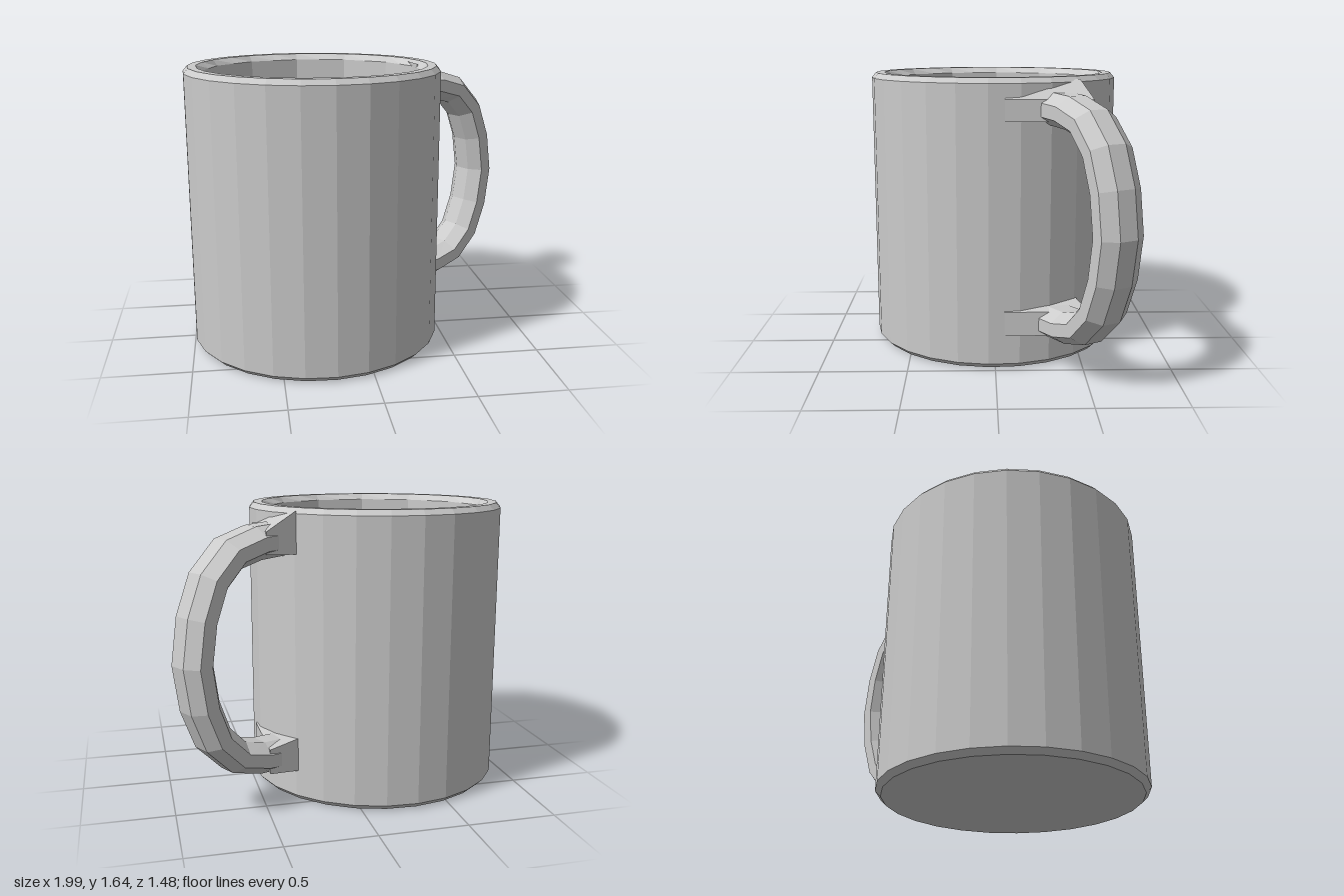
import * as THREE from 'three';
import { ConvexGeometry } from 'three/addons/geometries/ConvexGeometry.js';

const material = new THREE.MeshStandardMaterial({ color: 0xcccccc, flatShading: true });
const V3 = (x, y, z) => new THREE.Vector3(x, y, z);

function addMesh(parent, name, geometry) {
  const mesh = new THREE.Mesh(geometry, material);
  mesh.name = name;
  parent.add(mesh);
  return mesh;
}

// Hollow cup: rounder outside, coarser 13-sided inside
function cupGeometry() {
  const sides = 13;
  const profile = [
    [0, 0], [0.71, 0], [0.74, 0.03], [0.74, 0.17], [0.74, 1.615],
    [0.715, 1.645], [0.665, 1.645], [0.64, 1.61], [0.63, 0.17], [0, 0.17],
  ].map(([r, y]) => new THREE.Vector2(r, y));
  const geometry = new THREE.LatheGeometry(profile, sides * 2, Math.PI * 0.56);
  const pos = geometry.attributes.position;
  for (let i = 0; i < pos.count; i++) {
    const column = Math.floor(i / profile.length);
    // Pull every other inner column onto the chord of its neighbours
    if (column % 2 && profile[i % profile.length].x < 0.65) {
      const k = Math.cos(Math.PI / sides);
      pos.setX(i, pos.getX(i) * k);
      pos.setZ(i, pos.getZ(i) * k);
    }
  }
  geometry.computeVertexNormals();
  return geometry;
}

// Handle: octagonal sections swept down a C-shaped path in the local xy plane
function handleGeometry() {
  const midY = 0.87, thick = 0.09, width = 0.132, sides = 8;
  const upper = [[0.68, 1.48], [0.9, 1.465], [1.06, 1.42], [1.19, 1.29], [1.265, 1.1]];
  const path = [...upper, [1.3, midY], ...upper.map(([x, y]) => [x, 2 * midY - y]).reverse()];
  const positions = [], index = [];
  path.forEach(([x, y], i) => {
    const a = path[Math.max(i - 1, 0)], b = path[Math.min(i + 1, path.length - 1)];
    const length = Math.hypot(b[0] - a[0], b[1] - a[1]);
    const nx = -(b[1] - a[1]) / length, ny = (b[0] - a[0]) / length;
    for (let j = 0; j < sides; j++) {
      const angle = ((j + 0.5) / sides) * Math.PI * 2;
      const t = Math.cos(angle) * thick * 1.08, w = Math.sin(angle) * width * 1.08;
      positions.push(x + nx * t, y + ny * t, w);
      if (i < path.length - 1) {
        const p = i * sides + j, q = i * sides + ((j + 1) % sides);
        index.push(p, q, p + sides, q, q + sides, p + sides);
      }
    }
  });
  const geometry = new THREE.BufferGeometry();
  geometry.setAttribute('position', new THREE.Float32BufferAttribute(positions, 3));
  geometry.setIndex(index);
  geometry.computeVertexNormals();
  return geometry;
}

// Wedge that blends a handle end into the cup wall
function rootGeometry(low, wallHigh, tipLow, tipHigh) {
  const wall = [[0.31, -0.47], [0.37, -0.06]];
  const tip = [[0.48, -0.53], [0.48, -0.05]];
  return new ConvexGeometry([
    ...wall.flatMap(([x, z]) => [V3(x, low, z), V3(x, wallHigh, z)]),
    ...tip.flatMap(([x, z]) => [V3(x, tipLow, z), V3(x, tipHigh, z)]),
  ]);
}

export function createModel() {
  const mug = new THREE.Group();
  mug.name = 'mug';

  addMesh(mug, 'cup', cupGeometry()).position.x = -0.26;

  const handle = addMesh(mug, 'handle', handleGeometry());
  handle.position.x = -0.26;
  handle.rotation.y = THREE.MathUtils.degToRad(28);

  addMesh(mug, 'upperHandleRoot', rootGeometry(1.4, 1.63, 1.41, 1.53));
  addMesh(mug, 'lowerHandleRoot', rootGeometry(0.18, 0.37, 0.2, 0.34));

  return mug;
}
